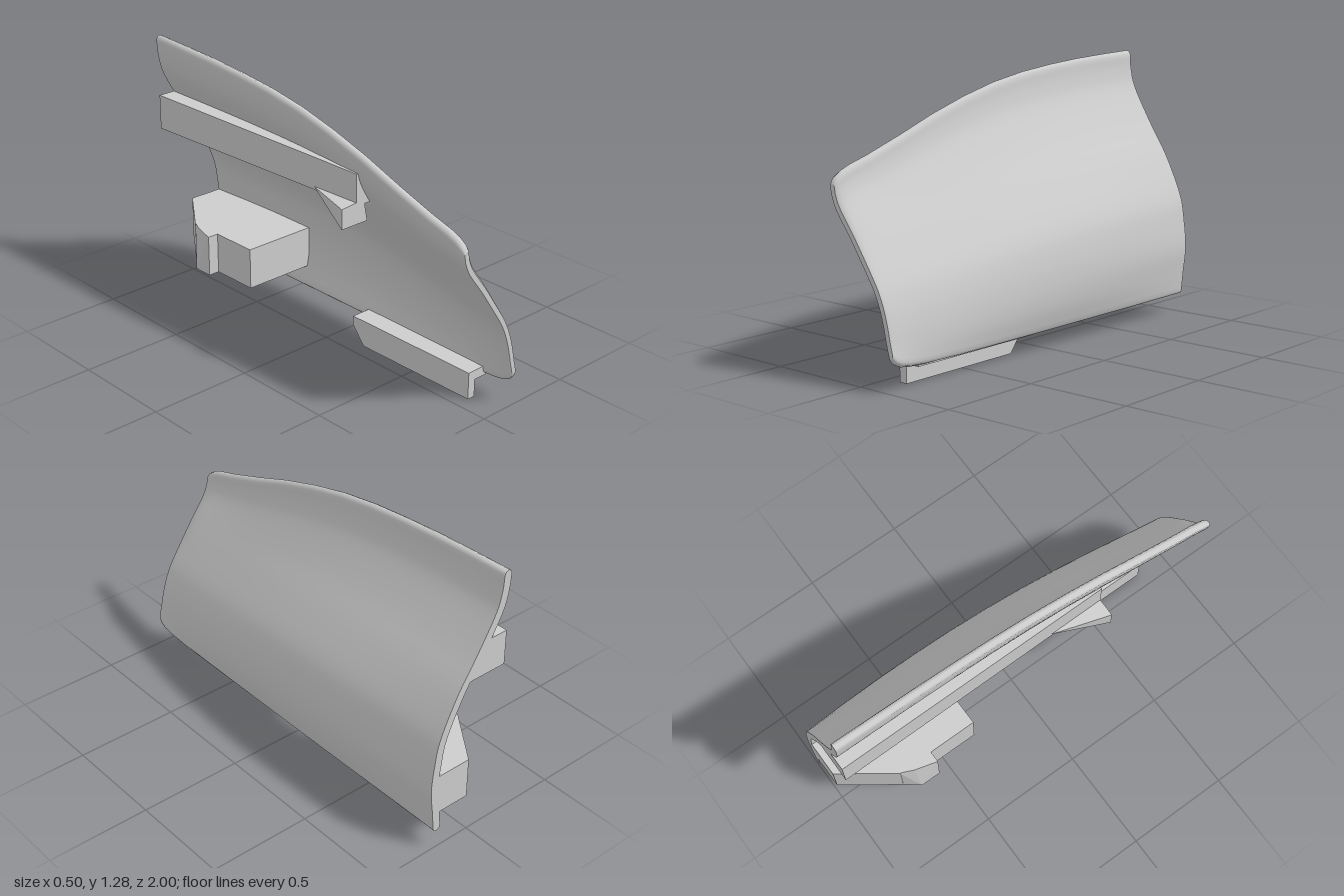
import * as THREE from 'three';
import { ConvexGeometry } from 'three/addons/geometries/ConvexGeometry.js';

// Profile of the panel's outer face: height fraction, then x at back, middle and front
const PROFILE = [
  [0, 0.203, 0.205, 0.2], [0.09, 0.213, 0.234, 0.185], [0.19, 0.225, 0.247, 0.17],
  [0.3, 0.213, 0.238, 0.147], [0.41, 0.187, 0.205, 0.112], [0.57, 0.1, 0.102, 0.042],
  [0.706, 0, 0, -0.02], [0.85, -0.095, -0.092, -0.092], [0.933, -0.123, -0.121, -0.12],
  [1, -0.13, -0.13, -0.13],
];
// Stations along the panel: z, bottom y, top y, half thickness
const STATIONS = [
  [-1, 0.09, 1.28, 0.02], [-0.8, 0.09, 1.272, 0.02], [-0.6, 0.09, 1.262, 0.02],
  [-0.4, 0.09, 1.246, 0.02], [-0.2, 0.09, 1.224, 0.02], [0, 0.09, 1.19, 0.02],
  [0.2, 0.09, 1.14, 0.02], [0.4, 0.09, 1.078, 0.02], [0.6, 0.09, 1.005, 0.02],
  [0.8, 0.092, 0.937, 0.02], [0.9, 0.098, 0.908, 0.02], [0.95, 0.106, 0.888, 0.02],
  [0.98, 0.12, 0.868, 0.019], [0.994, 0.135, 0.852, 0.016], [1, 0.15, 0.838, 0.012],
];

const uniform = (pts) => new THREE.CatmullRomCurve3(pts, false, 'catmullrom', 0.5);
const heights = uniform(PROFILE.map((p) => new THREE.Vector3(p[0], 0, 0)));
const widths = uniform(PROFILE.map((p) => new THREE.Vector3(p[1], p[2], p[3])));

// Closed, round-ended cross-section at one station
function panelRing([z, bottom, top, h]) {
  const M = 36;
  const wb = (z + 0.3) * (z - 1) / 1.4;
  const wm = (z + 1) * (z - 1) / -0.91;
  const wf = (z + 1) * (z + 0.3) / 2.6;
  const mid = [];
  for (let k = 0; k <= M; k++) {
    const w = widths.getPoint(k / M);
    const t = heights.getPoint(k / M).x;
    mid.push(new THREE.Vector2(w.x * wb + w.y * wm + w.z * wf - 0.02,
      THREE.MathUtils.lerp(bottom + h, top - h, t)));
  }
  const around = (k, degrees) => {
    const d = mid[Math.min(k + 1, M)].clone().sub(mid[Math.max(k - 1, 0)]).normalize();
    const a = THREE.MathUtils.degToRad(degrees);
    const c = Math.cos(a) * h, s = Math.sin(a) * h;
    return [mid[k].x + d.y * c + d.x * s, mid[k].y - d.x * c + d.y * s, z];
  };
  const ring = [around(0, -90), around(0, -45)];
  for (let k = 0; k <= M; k++) ring.push(around(k, 0));
  for (const a of [45, 90, 135]) ring.push(around(M, a));
  for (let k = M; k >= 0; k--) ring.push(around(k, 180));
  ring.push(around(0, 225));
  return ring;
}

function panelSkin(rings) {
  const n = rings[0].length, index = [];
  for (let i = 0; i < rings.length - 1; i++) {
    for (let j = 0; j < n; j++) {
      const a = i * n + j, b = i * n + (j + 1) % n;
      index.push(a, b, b + n, a, b + n, a + n);
    }
  }
  return fromRings(rings, index);
}

function panelCap(ring, facesFront) {
  const n = ring.length, index = [];
  for (let j = 0; j < n / 2; j++) {
    const q = [j, j + 1, n - j - 1, (n - j) % n];
    if (!facesFront) q.reverse();
    index.push(q[0], q[1], q[2], q[0], q[2], q[3]);
  }
  return fromRings([ring], index);
}

function fromRings(rings, index) {
  const g = new THREE.BufferGeometry();
  g.setAttribute('position', new THREE.Float32BufferAttribute(rings.flat(2), 3));
  g.setIndex(index);
  g.computeVertexNormals();
  return g;
}

const hull = (pts) => new ConvexGeometry(pts.map((p) => new THREE.Vector3(...p)));
// Upright prism over an x,z outline
const prism = (outline, y0, y1) =>
  hull(outline.flatMap(([x, z]) => [[x, y0, z], [x, y1, z]]));

export function createModel() {
  const model = new THREE.Group();
  model.name = 'curvedPanel';
  const grey = new THREE.MeshStandardMaterial({ color: 0xcccccc });
  grey.name = 'light grey';
  const add = (name, geometry) => {
    const mesh = new THREE.Mesh(geometry, grey);
    mesh.name = name;
    model.add(mesh);
  };

  // Curved shell with a flat back end and a rounded front end
  const rings = STATIONS.map(panelRing);
  add('panelShell', panelSkin(rings));
  add('panelBackEnd', panelCap(rings[0], false));
  add('panelFrontEnd', panelCap(rings[rings.length - 1], true));

  // Long rib on the inner face, with a snap wedge at its front
  add('upperRib', hull([
    [-0.165, 0.98, -1], [-0.165, 0.81, -1], [0.05, 0.81, -1], [-0.06, 0.98, -1],
    [-0.165, 0.99, 0.37], [-0.165, 0.84, 0.37], [-0.045, 0.84, 0.37], [-0.13, 0.99, 0.37],
  ]));
  add('upperWedge', hull([
    [-0.165, 0.85, 0.1], [-0.13, 0.85, 0.1],
    [-0.25, 0.85, 0.37], [-0.25, 0.755, 0.37], [-0.1, 0.755, 0.37], [-0.12, 0.86, 0.37],
  ]));

  // Lower mounting block and its hook
  add('lowerBlock', prism(
    [[0.2, -1], [0.01, -1], [-0.17, -0.75], [-0.17, -0.34], [0.2, -0.34]], 0.19, 0.39));
  add('lowerHook', hull([
    [-0.165, 0.39, -0.755], [-0.195, 0.39, -0.69], [-0.225, 0.39, -0.58], [-0.165, 0.39, -0.58],
    [-0.165, 0.19, -0.755], [-0.225, 0.19, -0.68], [-0.225, 0.19, -0.58], [-0.165, 0.19, -0.58],
  ]));

  // Bottom bracket: a flange with a chamfered leg
  add('bottomFlange', prism([[0.07, 0.11], [0.18, 0.11], [0.18, 0.84], [0.07, 0.84]], 0.085, 0.13));
  add('bottomLeg', hull([0.07, 0.11].flatMap((x) => [
    [x, 0, 0.18], [x, 0, 0.84], [x, 0.085, 0.84], [x, 0.085, 0.11],
  ])));

  return model;
}
